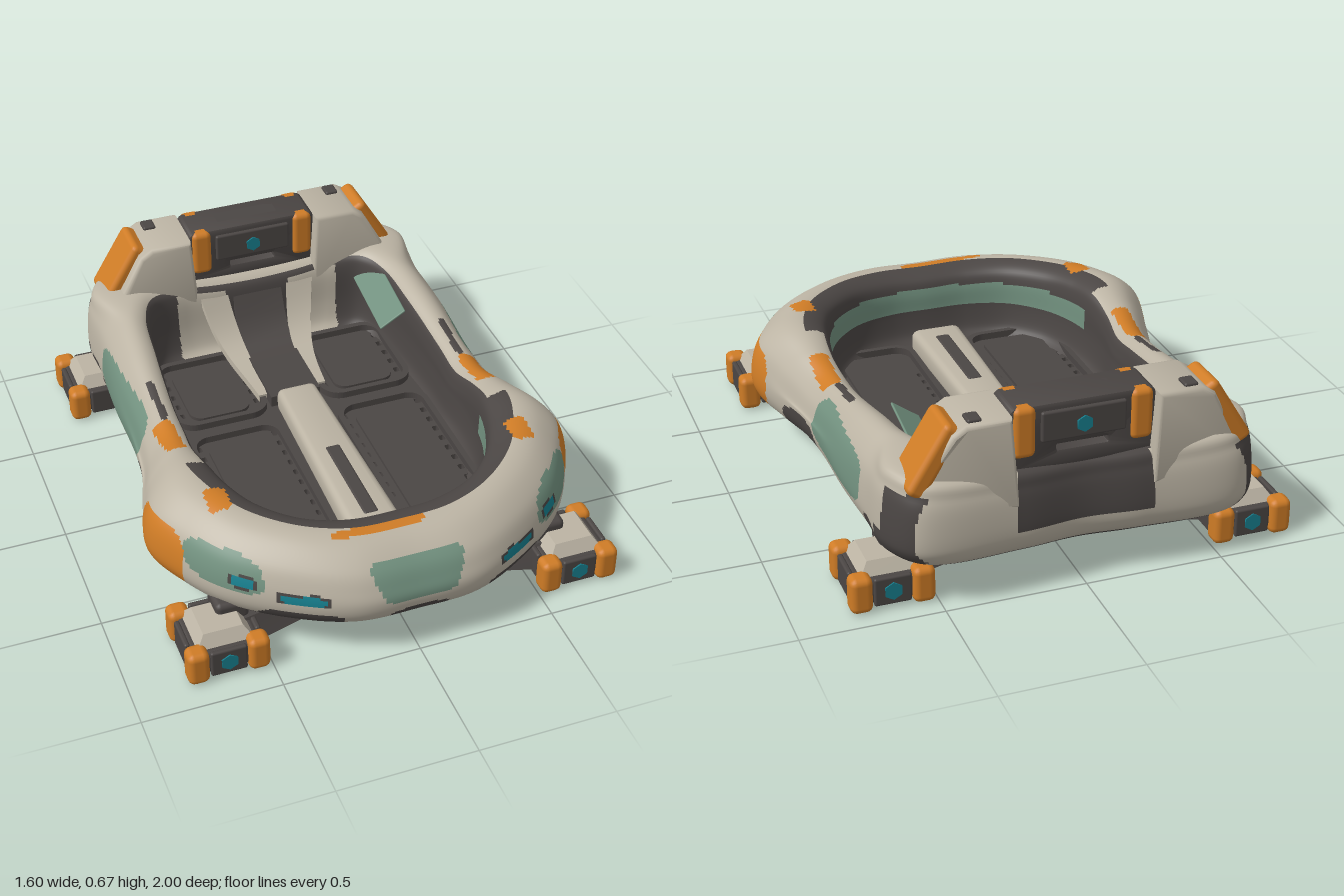
import * as THREE from 'three';
import { RoundedBoxGeometry } from 'three/addons/geometries/RoundedBoxGeometry.js';
import { toCreasedNormals } from 'three/addons/utils/BufferGeometryUtils.js';

const mat = (name, color) => Object.assign(new THREE.MeshStandardMaterial({ color }), { name });
const cream = mat('cream', 0xbcb4a4), dark = mat('charcoal', 0x4b4644), orange = mat('orange', 0xcf7c26);
const sage = mat('sage', 0x72917f), teal = mat('teal', 0x17808f);
const palette = [cream, dark, orange, sage, teal];
const CREAM = 0, DARK = 1, ORANGE = 2, SAGE = 3, TEAL = 4;

// Hull stations from the nose centre round the left side to the tail:
// outer x, z, opening x, z, rim height
const stations = [
  [0, 1.0, 0, 0.7, 0.44], [0.22, 0.99, 0.16, 0.695, 0.445], [0.42, 0.9, 0.31, 0.645, 0.455],
  [0.62, 0.75, 0.43, 0.53, 0.465], [0.735, 0.58, 0.49, 0.41, 0.475], [0.798, 0.42, 0.52, 0.28, 0.475],
  [0.76, 0.24, 0.53, 0.15, 0.44], [0.71, 0.06, 0.52, 0.02, 0.408], [0.69, -0.12, 0.52, -0.12, 0.42],
  [0.688, -0.4, 0.5, -0.4, 0.465], [0.675, -0.65, 0.475, -0.6, 0.49], [0.67, -0.84, 0.42, -0.69, 0.5],
  [0.58, -0.98, 0.3, -0.72, 0.49], [0.22, -0.99, 0.15, -0.72, 0.475], [0, -0.97, 0, -0.72, 0.47]];

// Soft rectangle test used for the painted areas
const inside = (a, b, ca, cb, ha, hb, p = 4) =>
  Math.abs((a - ca) / ha) ** p + Math.abs((b - cb) / hb) ** p < 1;

// Colour of a hull face; s counts along the cross-section (4 = bulge, 8 = crest, 10 = lip)
function hullColour(x, y, z, s) {
  const ax = Math.abs(x);
  if (s < 1.7) return DARK;
  if (s > 9.5) {
    if (z > 0.3 && y > 0.29 && y < 0.38) return SAGE;
    return z < -0.64 && ax > 0.13 && ax < 0.33 ? CREAM : DARK;
  }
  if (s > 6.2) {
    if (inside(ax, z, 0.602, 0.065, 0.036, 0.1, 10)) return ORANGE;
    if (inside(ax, z, 0.565, 0.52, 0.04, 0.055, 6)) return ORANGE;
    if (inside(x, z, -0.09, 0.812, 0.17, 0.018, 10)) return ORANGE;
    if (inside(ax, z, 0.585, -0.14, 0.014, 0.11)) return DARK;
    if ((z > 0.3 && s > 8) || s > 9) return DARK;
  }
  if (s > 7.5) return CREAM;
  if (z > 0.5) {
    if (inside(ax, y, 0.395, 0.283, 0.07, 0.016) || inside(ax, y, 0.57, 0.315, 0.032, 0.018, 6)) return TEAL;
    if (inside(ax, y, 0.395, 0.285, 0.082, 0.023) || inside(ax, y, 0.567, 0.315, 0.04, 0.023)) return DARK;
    if (z > 0.58 && inside(ax, y, 0.61, 0.338, 0.105, 0.063, 3)) return SAGE;
    if (inside(ax, y, 0, 0.325, 0.125 + (y - 0.26) * 0.42, 0.066, 10)) return SAGE;
    if (inside(ax, y, 0, 0.17, 0.11, 0.045) || inside(ax, y, 0.39, 0.175, 0.13, 0.055)) return DARK;
  }
  if (ax > 0.55) {
    if (inside(z, y, 0.45, 0.27, 0.153, 0.123, 2.6)) return ORANGE;
    if (inside(z, y, -0.33, 0.307, 0.275, 0.09)) return SAGE;
    if (inside(z, y, 0.06, 0.17, 0.13, 0.085) || inside(z, y, -0.71, 0.19, 0.07, 0.05)) return DARK;
    if (z < -0.78 && z > -0.97 && y < (z < -0.84 ? 0.43 : 0.26)) return DARK;
  }
  if (z < -0.9 && ax < 0.24 && y > 0.25) return DARK;
  return y < (z > 0.5 && ax > 0.3 ? 0.185 : 0.165) ? DARK : CREAM;
}

function hullGeometry() {
  const mirrored = stations.slice(1, -1).reverse().map(([a, b, c, d, e]) => [-a, b, -c, d, e]);
  const loop = [...stations, ...mirrored];
  const outer = new THREE.CatmullRomCurve3(loop.map(s => new THREE.Vector3(s[0], 0, s[1])), true);
  const inner = new THREE.CatmullRomCurve3(loop.map(s => new THREE.Vector3(s[2], s[4], s[3])), true);
  const around = 520, across = 78, pos = [], faces = palette.map(() => []);
  for (let i = 0; i < around; i++) {
    const o = outer.getPoint(i / around), n = inner.getPoint(i / around), r = n.y;
    // Shoulders slope at the nose and sides, and stand steeper at the tail
    const k = 1 - 0.6 * THREE.MathUtils.smoothstep(-o.z, 0.6, 0.85);
    // Cross-section: share of the way from outside to opening, height
    const profile = new THREE.SplineCurve([[1.1, 0.125], [0.45, 0.125], [0.15, 0.165], [0.03, 0.21],
      [0, 0.265], [0.05 * k, r - 0.13], [0.17 * k, r - 0.07], [0.42 * k, r - 0.015], [0.68, r], [0.92, r - 0.025],
      [1, r - 0.08], [1.02, 0.28], [1.08, 0.2], [1.2, 0.165]].map(p => new THREE.Vector2(...p)));
    for (let j = 0; j <= across; j++) {
      const p = profile.getPoint(j / across);
      pos.push(o.x + (n.x - o.x) * p.x, p.y, o.z + (n.z - o.z) * p.x);
    }
  }
  const id = (i, j) => (i % around) * (across + 1) + j;
  for (let i = 0; i < around; i++) for (let j = 0; j < across; j++) {
    const q = [id(i, j), id(i + 1, j), id(i + 1, j + 1), id(i, j + 1)];
    const c = [0, 1, 2].map(k => q.reduce((sum, v) => sum + pos[v * 3 + k] / 4, 0));
    faces[hullColour(...c, (j + 0.5) / across * 13)].push(q[0], q[1], q[2], q[0], q[2], q[3]);
  }
  const g = new THREE.BufferGeometry();
  g.setAttribute('position', new THREE.Float32BufferAttribute(pos, 3));
  g.setIndex(faces.flat());
  let start = 0;
  faces.forEach((f, m) => { g.addGroup(start, f.length, m); start += f.length; });
  g.computeVertexNormals();
  return g;
}

// Rounded rectangle centred at cx, cy
function roundRect(cx, cy, w, h, r, Kind = THREE.Shape) {
  const s = new Kind(), corners = [[1, -1, -90], [1, 1, 0], [-1, 1, 90], [-1, -1, 180]];
  for (const [a, b, deg] of corners) {
    const t = THREE.MathUtils.degToRad(deg);
    s.absarc(cx + a * (w / 2 - r), cy + b * (h / 2 - r), r, t, t + Math.PI / 2, false);
  }
  s.closePath();
  return s;
}
// Flat slab lying in the ground plane (shape y = -z)
const slab = (shape, y, depth) => new THREE.ExtrudeGeometry(shape, { depth, bevelEnabled: false, curveSegments: 6 })
  .rotateX(-Math.PI / 2).translate(0, y, 0);
const rbox = (w, h, d, r) => new RoundedBoxGeometry(w, h, d, 2, r);

// Move every vertex by a rule
function bend(g, rule) {
  const p = g.attributes.position, v = new THREE.Vector3();
  for (let i = 0; i < p.count; i++) {
    rule(v.fromBufferAttribute(p, i));
    p.setXYZ(i, v.x, v.y, v.z);
  }
  return toCreasedNormals(g, 0.7);
}

export function createModel() {
  const root = new THREE.Group();
  root.name = 'openCraft';
  const add = (name, g, m, x = 0, y = 0, z = 0, parent = root) => {
    const mesh = new THREE.Mesh(g, m);
    mesh.name = name;
    mesh.position.set(x, y, z);
    parent.add(mesh);
    return mesh;
  };
  add('hull', hullGeometry(), palette);

  // Floor with rows of vent slots beside each foot well
  const edge = [...stations, ...stations.slice(1, -1).reverse().map(s => [0, 0, -s[2], s[3]])];
  const floor = new THREE.Shape(edge.map(s => new THREE.Vector2(s[2] * 0.98, -s[3] * 0.98)));
  const wells = [[0.225, 0.78, 9], [-0.435, 0.42, 5]]; // centre z, length, slots
  for (const side of [-1, 1]) for (const [cz, len, n] of wells) {
    for (const x of [0.145, 0.443]) for (let k = 0; k < n; k++) {
      const z = n > 5 ? -0.11 + k * 0.061 : -0.575 + k * 0.062;
      floor.holes.push(roundRect(side * x, -z, x < 0.3 ? 0.016 : 0.022, 0.028, 0.006, THREE.Path));
    }
    const frame = roundRect(side * 0.295, -cz, 0.37, len, 0.08);
    frame.holes.push(roundRect(side * 0.295, -cz, 0.325, len - 0.045, 0.06, THREE.Path));
    add('wellFrame', slab(frame, 0.117, 0.08), dark);
    add('wellPad', slab(roundRect(side * 0.295, -cz, 0.24, len - 0.1, 0.05), 0.118, 0.065), dark);
  }
  add('floor', slab(floor, 0.125, 0.045), dark);

  // Centre spine
  add('spine', bend(rbox(0.2, 0.1, 0.91, 0.03), v => { v.x *= 0.9 + v.z * 0.25; }), cream, 0, 0.2, 0.175);
  add('spineInset', rbox(0.055, 0.02, 0.4, 0.008), dark, 0, 0.245, 0.33);
  add('spineTail', bend(new THREE.BoxGeometry(0.2, 0.05, 0.46, 1, 1, 10),
    v => { v.y += 0.2 * Math.max(0, -v.z / 0.23) ** 3; }), dark, 0, 0.19, -0.5);

  // Sloping panel inside the left wall
  add('wallPanel', rbox(0.12, 0.009, 0.37, 0.004), sage, 0.437, 0.415, -0.51).rotation.set(0, -0.08, 0.6);

  // Rear bar between the posts, with a slit and bumpers
  const bar = roundRect(0, 0.565, 0.5, 0.22, 0.02);
  bar.holes.push(roundRect(0, 0.518, 0.2, 0.04, 0.012, THREE.Path));
  add('rearBar', toCreasedNormals(new THREE.ExtrudeGeometry(bar,
    { depth: 0.14, bevelSize: 0.01, bevelThickness: 0.012, bevelSegments: 2 }), 0.6), dark, 0, 0, -0.925);
  add('barTopInset', rbox(0.26, 0.02, 0.08, 0.008), dark, 0, 0.675, -0.86);
  const disc = (name, x, y, z, r, parent) =>
    add(name, new THREE.CylinderGeometry(r, r, 0.008, 6).rotateX(Math.PI / 2), teal, x, y, z, parent);
  for (const z of [-0.77, -0.94]) {
    add('barPanel', rbox(0.3, 0.11, 0.02, 0.008), dark, 0, 0.605, z);
    disc('barLight', 0, 0.6, z + (z > -0.85 ? 0.012 : -0.012), 0.03);
  }

  for (const s of [-1, 1]) {
    for (const z of [-0.79, -0.92]) add('barBumper', rbox(0.08, 0.185, 0.06, 0.022), orange, s * 0.207, 0.593, z);

    // Raised tail posts, blended into the hull corner
    const outline = [[0.25, 0.36], [0.59, 0.36], [0.545, 0.46], [0.45, 0.63], [0.41, 0.655], [0.27, 0.655]];
    const post = new THREE.ExtrudeGeometry(new THREE.Shape(outline.map(p => new THREE.Vector2(p[0] * s, p[1]))),
      { depth: 0.21, bevelSize: 0.015, bevelThickness: 0.02, bevelSegments: 3 });
    add('tailPost', bend(post, v => {
      const z = v.z - 0.105;
      v.z = -0.855 + z * (1.08 - 0.45 * (v.y - 0.36));
      if (z < 0 && Math.abs(v.x) > 0.5) v.z += 0.05;
    }), cream);
    // Thick guard on the outer slope of the post
    const plate = add('postPlate', rbox(0.275, 0.07, 0.18, 0.022), orange, s * 0.515, 0.545, -0.865);
    plate.rotation.z = -s * 1.02;
    add('postCap', rbox(0.05, 0.025, 0.06, 0.008), dark, s * 0.38, 0.668, -0.92);
    add('postMark', rbox(0.03, 0.055, 0.012, 0.005), dark, s * 0.39, 0.575, -0.745);
    // Cream ribs running down the rear cockpit wall, widening upwards
    add('wallRib', bend(new THREE.BoxGeometry(0.08, 0.03, 0.42, 1, 1, 14), v => {
      const t = (0.21 - v.z) / 0.42;
      v.x = v.x * (0.4 + t) + s * 0.06 * t ** 3;
      v.y += 0.22 * t ** 5;
    }), cream, s * 0.12, 0.19, -0.52);

    // Four landing pods on tapered arms
    for (const f of [-1, 1]) {
      const pod = new THREE.Group();
      pod.name = f > 0 ? 'frontPod' : 'rearPod';
      pod.position.set(s * 0.655, 0.078, f > 0 ? 0.76 : -0.785);
      root.add(pod);
      add('podBody', rbox(0.25, 0.095, 0.25, 0.02), dark, 0, 0, 0, pod);
      for (const a of [-1, 1]) {
        add('podFace', rbox(0.13, 0.105, 0.02, 0.008), dark, 0, 0, a * 0.126, pod);
        add('podFace', rbox(0.02, 0.105, 0.13, 0.008), dark, a * 0.126, 0, 0, pod);
        for (const b of [-1, 1]) add('podBumper', rbox(0.078, 0.132, 0.078, 0.024), orange, a * 0.108, 0, b * 0.11, pod);
      }
      disc('podLight', 0, 0, f * 0.137, 0.033, pod);
      const cap = new THREE.CylinderGeometry(0.1, 0.145, 0.045, 4).rotateY(Math.PI / 4);
      add('podCap', toCreasedNormals(cap, 0.4), cream, 0, 0.068, 0, pod);
      add('podNeck', rbox(0.12, 0.08, 0.12, 0.02), dark, -s * 0.06, 0.085, -f * 0.06, pod);
      add('podArm', bend(new THREE.BoxGeometry(2, 2, 2), v => {
        const out = v.x * s > 0, low = v.y < 0;
        v.set(s * (out ? 0.6 : low ? 0.12 : 0.07), low ? (out ? 0.04 : 0.078) : 0.135,
          f * ((v.z * f > 0 ? (out ? 0.82 : 0.72) : (out ? 0.65 : 0.55)) - (low ? 0 : 0.04)));
      }), dark);
    }
  }
  return root;
}
